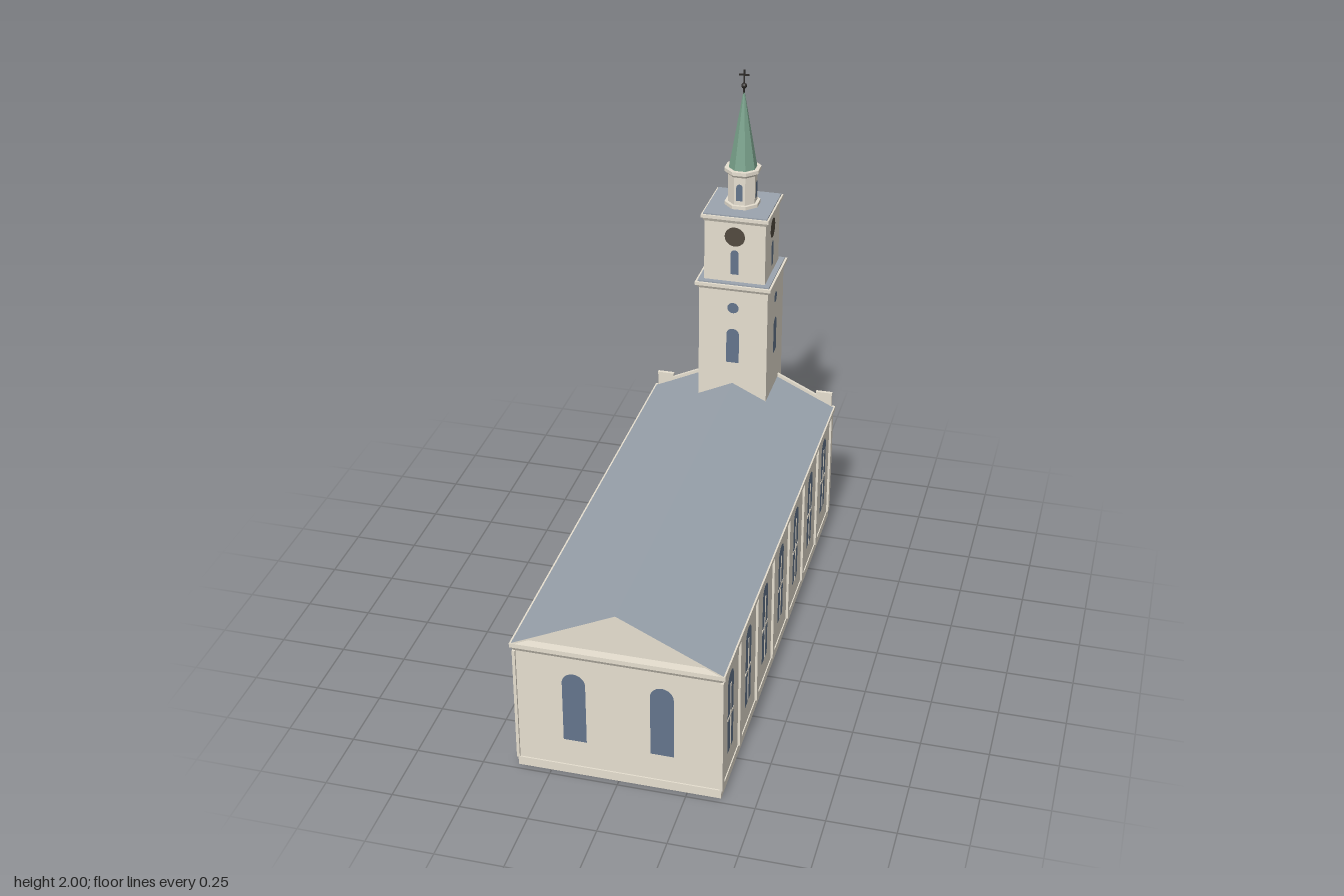
import * as THREE from 'three';

const mat = (name, color) => {
  const m = new THREE.MeshStandardMaterial({ color, flatShading: true });
  m.name = name;
  return m;
};

export function createModel() {
  const stone = mat('stone', 0xe6dfd0);
  const slate = mat('slate', 0x9ba4ae);
  const glass = mat('glass', 0x64758c);
  const copper = mat('copper', 0x7aa28c);
  const bronze = mat('clock bronze', 0x524a3f);
  const wood = mat('door wood', 0x4f4639);
  const iron = mat('iron', 0x2b2826);
  const root = new THREE.Group();
  const TZ = -0.83; // tower axis

  const add = (name, geo, material, parent = root) => {
    const m = new THREE.Mesh(geo, material);
    m.name = name;
    parent.add(m);
    return m;
  };
  // box given by its limits; inset pulls the bottom edge inwards
  const box = (name, x0, x1, y0, y1, z0, z1, material = stone, parent = root, inset = 0) => {
    const w = x1 - x0, d = z1 - z0;
    const geo = new THREE.BoxGeometry(w, y1 - y0, d);
    const p = geo.attributes.position;
    for (let i = 0; i < p.count; i++) {
      if (p.getY(i) > 0) continue;
      p.setX(i, Math.sign(p.getX(i)) * (w / 2 - inset));
      p.setZ(i, Math.sign(p.getZ(i)) * (d / 2 - inset));
    }
    const m = add(name, geo, material, parent);
    m.position.set((x0 + x1) / 2, (y0 + y1) / 2, (z0 + z1) / 2);
    return m;
  };
  // square tier around the tower axis
  const tier = (name, h, y0, y1, material = stone, inset = 0) =>
    box(name, -h, h, y0, y1, TZ - h, TZ + h, material, root, inset);
  // open rectangular plinth of four strips
  const ring = (name, h, z0, z1, y1, t) => {
    for (const s of [1, -1]) box(name, s * (h - t / 2) - t / 2, s * (h - t / 2) + t / 2, 0, y1, z0, z1);
    box(name, -h + t, h - t, 0, y1, z0, z0 + t);
    box(name, -h + t, h - t, 0, y1, z1 - t, z1);
  };
  // group whose local +z points outwards from a wall
  const wall = (name, x, z, angle) => {
    const g = new THREE.Group();
    g.name = name;
    g.position.set(x, 0, z);
    g.rotation.y = angle;
    root.add(g);
    return g;
  };
  // flat painted detail just in front of a wall
  const plate = (name, shape, material, parent) => {
    const m = add(name, new THREE.ShapeGeometry(shape, 10), material, parent);
    m.position.z = 0.0015;
    return m;
  };
  const arch = (name, x, w, y0, y1, material, parent) => {
    const s = new THREE.Shape(), r = w / 2;
    s.moveTo(x - r, y0);
    s.lineTo(x + r, y0);
    s.lineTo(x + r, y1 - r);
    s.absarc(x, y1 - r, r, 0, Math.PI, false);
    s.closePath();
    return plate(name, s, material, parent);
  };
  const disc = (name, x, y, rx, ry, material, parent) =>
    plate(name, new THREE.Shape().absellipse(x, y, rx, ry, 0, Math.PI * 2, false), material, parent);
  const extrude = (name, points, depth, z, material, parent = root) => {
    const shape = new THREE.Shape(points.map(([x, y]) => new THREE.Vector2(x, y)));
    const m = add(name, new THREE.ExtrudeGeometry(shape, { depth, bevelEnabled: false }), material, parent);
    m.position.z = z;
    return m;
  };

  // nave body, open plinth and flared cornice
  box('naveWalls', -0.369, 0.369, 0.025, 0.52, -0.912, 0.973);
  ring('plinth', 0.373, -0.92, 0.978, 0.035, 0.016);
  box('corniceLower', -0.383, 0.383, 0.5, 0.518, -0.922, 0.984, stone, root, 0.011);
  box('corniceUpper', -0.385, 0.385, 0.518, 0.535, -0.922, 0.986);

  // gable walls under thin roof slopes
  extrude('gableWalls', [[-0.37, 0.533], [0.37, 0.533], [0, 0.708]], 1.86, -0.908, stone);
  extrude('roof', [[-0.379, 0.535], [-0.365, 0.535], [0, 0.707], [0.365, 0.535], [0.379, 0.535], [0, 0.715]],
    1.893, -0.91, [stone, slate]);

  // side bays: pilasters and tall arched windows
  for (const s of [1, -1]) {
    const side = wall(s > 0 ? 'leftSide' : 'rightSide', s * 0.369, 0, s * Math.PI / 2);
    for (let i = 0; i < 7; i++) {
      const u = -s * (0.84 - i * 0.269);
      arch('sideWindow', u, 0.085, 0.12, 0.455, glass, side);
      box('mullion', u - 0.006, u + 0.006, 0.12, 0.405, 0, 0.003, stone, side);
      box('transom', u - 0.0425, u + 0.0425, 0.264, 0.275, 0, 0.003, stone, side);
    }
    for (const z of [0.966, 0.705, 0.436, 0.168, -0.102, -0.371, -0.64, -0.904]) {
      box('pilaster', -s * z - 0.015, -s * z + 0.015, 0.035, 0.5, -0.002, 0.009, stone, side);
    }
  }

  // plain arched windows of the front wall
  const front = wall('frontWall', 0, 0.973, 0);
  for (const x of [-0.159, 0.159]) arch('frontWindow', x, 0.085, 0.145, 0.435, glass, front);

  // entrance wall with side doors, corner blocks and raking parapet
  const back = wall('entranceWall', 0, -0.912, Math.PI);
  const entrance = (x, roundY, parent) => {
    arch('fanlight', x, 0.086, 0.125, 0.212, glass, parent);
    box('door', x - 0.043, x + 0.043, 0.036, 0.127, 0, 0.003, wood, parent);
    disc('roundWindow', x, roundY, 0.035, 0.035, glass, parent);
  };
  for (const s of [1, -1]) {
    entrance(s * 0.25, 0.35, back);
    box('cornerPilaster', s * 0.352 - 0.015, s * 0.352 + 0.015, 0.035, 0.5, -0.002, 0.008, stone, back);
    box('innerPilaster', s * 0.155 - 0.015, s * 0.155 + 0.015, 0.035, 0.5, -0.002, 0.008, stone, back);
    box('cornerBlock', s * 0.338 - 0.033, s * 0.338 + 0.033, 0.53, 0.592, -0.005, 0.006, stone, back);
    box('cornerBlockCap', s * 0.338 - 0.034, s * 0.338 + 0.034, 0.59, 0.6, -0.006, 0.008, stone, back);
    extrude('rakingParapet', [[s * 0.12, 0.53], [s * 0.32, 0.53], [s * 0.32, 0.577], [s * 0.12, 0.671]],
      0.013, -0.006, stone, back);
  }

  // tower stages and cornices
  ring('towerPlinth', 0.144, TZ - 0.144, TZ + 0.144, 0.035, 0.02);
  tier('towerShaft', 0.14, 0.025, 1.135);
  tier('towerBand', 0.145, 0.5, 0.515);
  tier('shaftCorniceLower', 0.15, 1.13, 1.145, stone, 0.009);
  tier('shaftCorniceUpper', 0.154, 1.145, 1.158);
  tier('shaftRoof', 0.145, 1.156, 1.163, slate);
  tier('belfry', 0.123, 1.155, 1.43);
  tier('belfryCorniceLower', 0.132, 1.415, 1.43, stone, 0.008);
  tier('belfryCorniceUpper', 0.135, 1.43, 1.443);
  tier('belfryRoof', 0.128, 1.44, 1.448, slate);

  // tower openings on all four sides
  for (let i = 0; i < 4; i++) {
    const a = i * Math.PI / 2;
    const face = (name, d) => wall(name, Math.sin(a) * d, TZ + Math.cos(a) * d, a);
    const shaft = face('shaftFace', 0.14);
    arch('shaftWindow', 0, 0.052, 0.81, 0.962, glass, shaft);
    disc('shaftRoundWindow', 0, 1.055, 0.023, 0.023, glass, shaft);
    const belfry = face('belfryFace', 0.123);
    arch('belfryWindow', 0, 0.032, 1.195, 1.3, glass, belfry);
    disc('clockFace', 0, 1.357, 0.041, 0.041, bronze, belfry);
    arch('lanternWindow', 0, 0.026, 1.48, 1.55, glass, face('lanternFace', 0.054));
    if (i === 2) {
      entrance(0, 0.325, shaft);
      disc('entranceRoundel', 0, 0.455, 0.042, 0.034, bronze, shaft);
      for (const s of [1, -1]) {
        box('towerPilaster', s * 0.125 - 0.015, s * 0.125 + 0.015, 0.035, 1.12, -0.002, 0.006, stone, shaft);
      }
    }
  }

  // octagonal lantern and spire, flats facing the four sides
  const octagon = (name, rTop, rBottom, y0, y1, material = stone) => {
    const k = 1 / Math.cos(Math.PI / 8);
    const geo = new THREE.CylinderGeometry(rTop * k, rBottom * k, y1 - y0, 8, 1, false, Math.PI / 8);
    add(name, geo, material).position.set(0, (y0 + y1) / 2, TZ);
  };
  octagon('lanternBase', 0.066, 0.066, 1.445, 1.462);
  octagon('lantern', 0.054, 0.054, 1.46, 1.585);
  octagon('lanternCorniceLower', 0.064, 0.056, 1.578, 1.59);
  octagon('lanternCorniceUpper', 0.068, 0.068, 1.59, 1.604);
  octagon('spire', 0.002, 0.052, 1.604, 1.915, copper);

  // finial
  add('finialBall', new THREE.SphereGeometry(0.011, 12, 8), iron).position.set(0, 1.936, TZ);
  box('crossPost', -0.003, 0.003, 1.9, 2, TZ - 0.003, TZ + 0.003, iron);
  box('crossArm', -0.02, 0.02, 1.977, 1.983, TZ - 0.003, TZ + 0.003, iron);
  return root;
}
